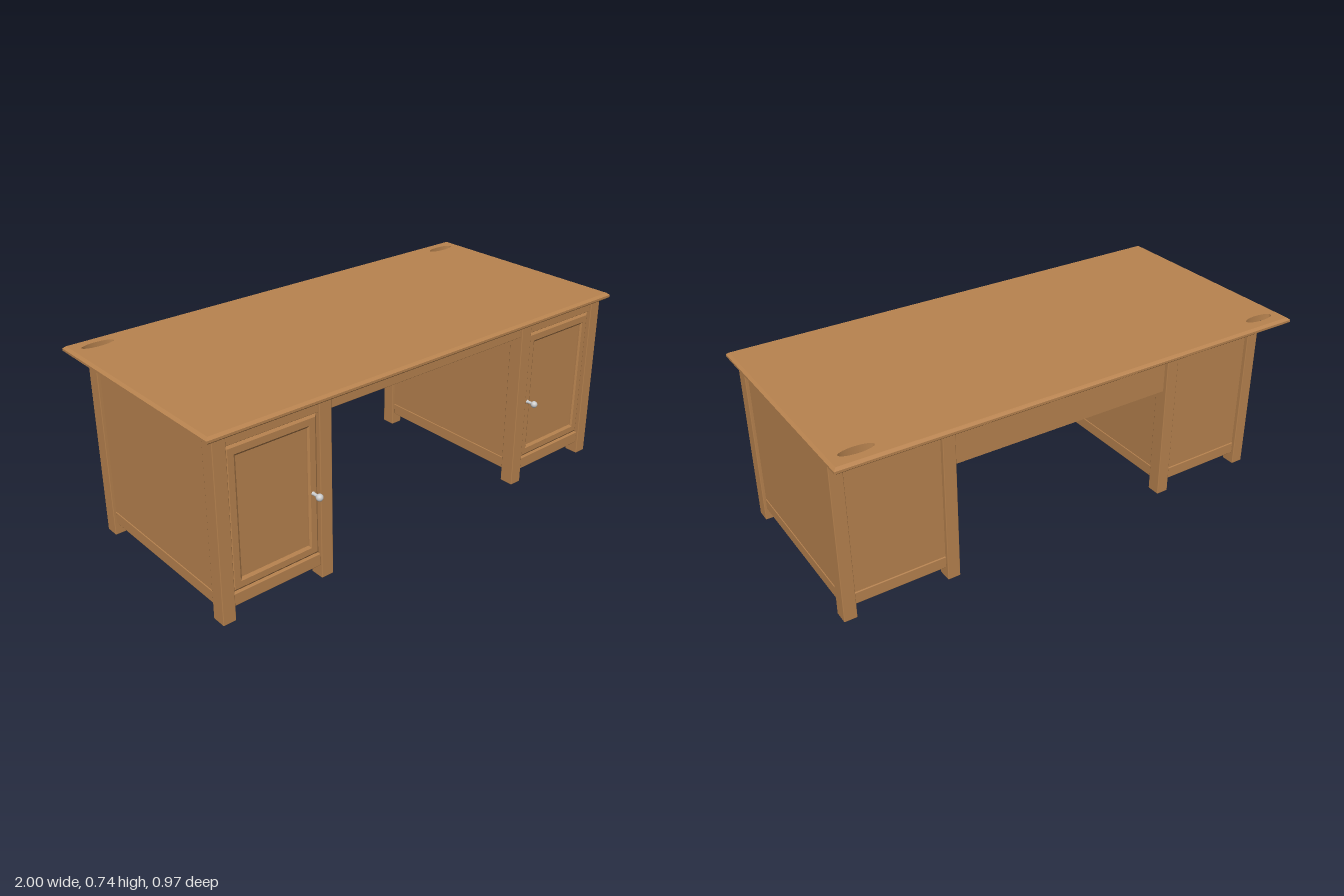
import * as THREE from 'three';
import { RoundedBoxGeometry } from 'three/addons/geometries/RoundedBoxGeometry.js';

const wood = new THREE.MeshStandardMaterial({ color: 0xb8834f });
const metal = new THREE.MeshStandardMaterial({ color: 0xcccccc });

// Box given by its limits on each axis, with an optional eased edge
function slab(parent, name, [x0, x1], [y0, y1], [z0, z1], ease = 0) {
  const size = [x1 - x0, y1 - y0, z1 - z0];
  const geo = ease ? new RoundedBoxGeometry(...size, 1, ease) : new THREE.BoxGeometry(...size);
  const mesh = new THREE.Mesh(geo, wood);
  mesh.name = name;
  mesh.position.set((x0 + x1) / 2, (y0 + y1) / 2, (z0 + z1) / 2);
  parent.add(mesh);
  return mesh;
}

function rectangle(Type, x0, x1, y0, y1) {
  return new Type([[x0, y0], [x1, y0], [x1, y1], [x0, y1]].map(p => new THREE.Vector2(...p)));
}

// Top board with two cable openings and chamfered outer edges
function tableTop() {
  const z0 = -0.485, z1 = 0.475, thick = 0.027, chamfer = 0.011;
  const shape = rectangle(THREE.Shape, -1, 1, z0, z1);
  for (const s of [-1, 1]) {
    const hole = new THREE.Path();
    hole.absellipse(s * 0.89, -0.417, 0.065, 0.022, 0, Math.PI * 2, true);
    shape.holes.push(hole);
  }
  const geo = new THREE.ExtrudeGeometry(shape, { depth: thick, steps: 3, bevelEnabled: false, curveSegments: 32 });
  const p = geo.attributes.position;
  for (let i = 0; i < p.count; i++) {
    const outer = Math.abs(p.getX(i)) > 0.99;
    const face = p.getZ(i) < 0.001 || p.getZ(i) > thick - 0.001;
    if (outer && face) {
      p.setX(i, p.getX(i) - Math.sign(p.getX(i)) * chamfer);
      p.setY(i, p.getY(i) - Math.sign(p.getY(i)) * chamfer);
    }
  }
  geo.rotateX(Math.PI / 2).translate(0, 0.742, 0);
  geo.computeVertexNormals();
  const mesh = new THREE.Mesh(geo, wood);
  mesh.name = 'tableTop';
  return mesh;
}

// Framed door with a sunken panel and a round knob
function door(s) {
  const group = new THREE.Group();
  group.name = 'door';
  const b = 0.008;
  const shape = rectangle(THREE.Shape, -0.186, 0.186, 0.107, 0.664);
  shape.holes.push(rectangle(THREE.Path, -0.146, 0.146, 0.148, 0.622));
  const geo = new THREE.ExtrudeGeometry(shape, {
    depth: 0.012, bevelThickness: 0.005, bevelSize: b, bevelOffset: -b, bevelSegments: 1,
  });
  // The bevel offset also widens the opening, so the frame keeps its outline
  const frame = new THREE.Mesh(geo, wood);
  frame.name = 'doorFrame';
  frame.position.z = 0.421;
  group.add(frame);
  slab(group, 'doorPanel', [-0.17, 0.17], [0.13, 0.64], [0.415, 0.427]);

  const profile = [new THREE.Vector2(0.008, 0), new THREE.Vector2(0.006, 0.006), new THREE.Vector2(0.006, 0.023)];
  for (let i = 0; i <= 10; i++) {
    const a = 0.45 + (Math.PI - 0.45) * i / 10;
    profile.push(new THREE.Vector2(Math.max(0, Math.sin(a)) * 0.014, 0.036 - Math.cos(a) * 0.014));
  }
  const knob = new THREE.Mesh(new THREE.LatheGeometry(profile, 24), metal);
  knob.name = 'knob';
  knob.rotation.x = Math.PI / 2;
  knob.position.set(-s * 0.164, 0.362, 0.438);
  group.add(knob);
  return group;
}

// Cupboard pedestal, built around its own middle
function pedestal(s) {
  const group = new THREE.Group();
  group.name = s > 0 ? 'leftPedestal' : 'rightPedestal';
  const out = 0.2415, inn = 0.1885, low = [0.052, 0.102], high = [0.67, 0.716];
  for (const m of [-1, 1]) {
    const span = (a, b) => (m > 0 ? [a, b] : [-b, -a]);
    slab(group, 'frontLeg', span(inn, out), [0, 0.716], [0.39, 0.45], 0.003);
    slab(group, 'backLeg', span(inn, out), [0, 0.716], [-0.35, -0.291], 0.003);
    slab(group, 'sidePanel', span(0.212, 0.229), [0.1, 0.716], [-0.293, 0.392]);
    slab(group, 'sideRail', span(0.203, 0.232), low, [-0.291, 0.39], 0.003);
  }
  for (const [name, y] of [['lowerRail', low], ['upperRail', high]]) {
    slab(group, 'front' + name, [-0.19, 0.19], y, [0.412, 0.441], 0.003);
    slab(group, 'back' + name, [-0.19, 0.19], y, [-0.338, -0.309], 0.003);
  }
  slab(group, 'backPanel', [-0.19, 0.19], [0.1, 0.672], [-0.333, -0.316]);
  slab(group, 'floor', [-0.215, 0.215], [0.082, 0.1], [-0.32, 0.42]);
  group.add(door(s));
  group.position.x = s * 0.7265;
  return group;
}

export function createModel() {
  const desk = new THREE.Group();
  desk.name = 'desk';
  desk.add(tableTop(), pedestal(1), pedestal(-1));
  // Rails and privacy panel across the knee space
  slab(desk, 'kneeFrontRail', [-0.487, 0.487], [0.667, 0.716], [0.412, 0.441], 0.003);
  slab(desk, 'kneeBackRail', [-0.487, 0.487], [0.67, 0.716], [-0.338, -0.309], 0.003);
  slab(desk, 'privacyPanel', [-0.487, 0.487], [0.492, 0.672], [-0.333, -0.316]);
  return desk;
}
